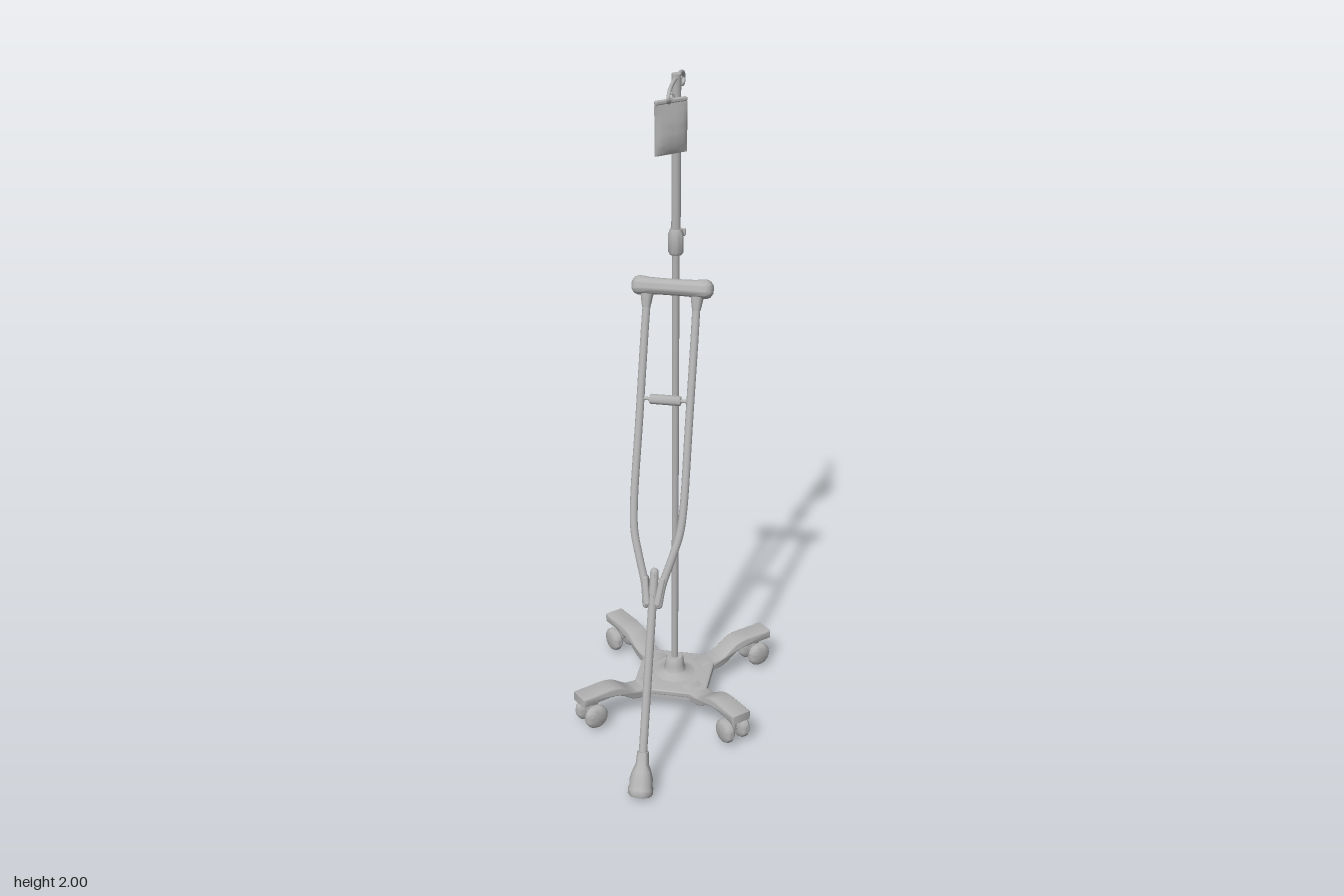
import * as THREE from 'three';
import { toCreasedNormals } from 'three/addons/utils/BufferGeometryUtils.js';
import { RoundedBoxGeometry } from 'three/addons/geometries/RoundedBoxGeometry.js';

const grey = new THREE.MeshStandardMaterial({ color: 0xb2b2b2 });
grey.name = 'plain grey';

const v2 = (pts) => pts.map(([x, y]) => new THREE.Vector2(x, y));
const v3 = (pts) => pts.map((p) => new THREE.Vector3(...p));

function add(parent, name, geometry, x = 0, y = 0, z = 0) {
  const mesh = new THREE.Mesh(geometry, grey);
  mesh.name = name;
  mesh.position.set(x, y, z);
  parent.add(mesh);
  return mesh;
}

function group(parent, name, x = 0, y = 0, z = 0) {
  const g = new THREE.Group();
  g.name = name;
  g.position.set(x, y, z);
  parent.add(g);
  return g;
}

// Turned part, profile as [radius, height] from bottom to top
const turned = (pts, sides = 24) => toCreasedNormals(new THREE.LatheGeometry(v2(pts), sides), 0.7);
const rod = (r, length, sides = 16) => new THREE.CylinderGeometry(r, r, length, sides);

// Round tube with ball ends
function tube(parent, name, pts, r, segments = 40) {
  const points = v3(pts);
  add(parent, name, new THREE.TubeGeometry(new THREE.CatmullRomCurve3(points), segments, r, 12));
  for (const p of [points[0], points[points.length - 1]])
    add(parent, name + 'End', new THREE.SphereGeometry(r, 12, 8), p.x, p.y, p.z);
}

// Square with cut corners
function cutSquare(Type, h, c) {
  return new Type(v2([
    [h - c, -h], [h, c - h], [h, h - c], [h - c, h],
    [c - h, h], [-h, h - c], [-h, c - h], [c - h, -h],
  ]));
}

function buildBase(stand) {
  const base = group(stand, 'base');

  // Thin top plate over a rim that leaves the underside hollow
  const topPlate = new THREE.ExtrudeGeometry(cutSquare(THREE.Shape, 0.109, 0.028),
    { depth: 0.008, bevelSize: 0.006, bevelThickness: 0.005, bevelSegments: 3 });
  topPlate.rotateX(-Math.PI / 2);
  add(base, 'basePlate', toCreasedNormals(topPlate, 0.8), 0, 0.072, 0);
  const rimShape = cutSquare(THREE.Shape, 0.113, 0.03);
  rimShape.holes.push(cutSquare(THREE.Path, 0.085, 0.03));
  const rim = new THREE.ExtrudeGeometry(rimShape, { depth: 0.018, bevelEnabled: false });
  rim.rotateX(-Math.PI / 2);
  add(base, 'baseRim', rim, 0, 0.057, 0);

  // Flared socket for the pole
  add(base, 'poleSocket', turned([
    [0, 0.06], [0.03, 0.06], [0.075, 0.082], [0.05, 0.088], [0.035, 0.098],
    [0.03, 0.115], [0.028, 0.135], [0.023, 0.142], [0, 0.142],
  ]));

  // S-curved arm section
  const top = new THREE.SplineCurve(v2([
    [0.09, 0.082], [0.14, 0.081], [0.175, 0.088], [0.215, 0.113], [0.25, 0.123], [0.3, 0.123], [0.353, 0.122],
  ])).getPoints(28);
  const bottom = top.map((p) => new THREE.Vector2(p.x, p.y - 0.02)).reverse();
  const arm = new THREE.ExtrudeGeometry(new THREE.Shape([...top, ...bottom]), {
    depth: 0.052, bevelSize: 0.004, bevelThickness: 0.006, bevelSegments: 3,
  });
  arm.translate(0, 0, -0.026);
  const armSmooth = toCreasedNormals(arm, 0.8);

  const wheel = turned([
    [0, -0.016], [0.024, -0.016], [0.033, -0.012], [0.038, -0.005], [0.038, 0.005],
    [0.033, 0.012], [0.024, 0.016], [0, 0.016],
  ]);
  wheel.rotateX(Math.PI / 2);

  for (let i = 0; i < 4; i++) {
    const leg = group(base, 'leg');
    leg.rotation.y = Math.PI / 4 + i * Math.PI / 2;
    add(leg, 'arm', armSmooth);
    add(leg, 'casterStem', rod(0.011, 0.06), 0.312, 0.08, 0);
    const axle = add(leg, 'axle', rod(0.009, 0.06), 0.312, 0.051, 0);
    axle.rotation.x = Math.PI / 2;
    for (const s of [-1, 1]) add(leg, 'wheel', wheel, 0.312, 0.051, s * 0.028);
  }
}

function buildPole(stand) {
  add(stand, 'lowerPole', rod(0.0105, 1.4), 0, 0.82, 0);
  add(stand, 'upperPole', rod(0.0135, 0.46), 0, 1.77, 0);
  add(stand, 'heightClamp', turned([
    [0, 1.485], [0.018, 1.485], [0.022, 1.492], [0.022, 1.545], [0.017, 1.56], [0, 1.56],
  ]));
  const screw = add(stand, 'clampScrew', rod(0.006, 0.02), 0, 1.54, -0.025);
  screw.rotation.x = Math.PI / 2;
  add(stand, 'clampKnob', new RoundedBoxGeometry(0.045, 0.022, 0.008, 2, 0.003), 0, 1.54, -0.033);

  // Double hook across the top
  tube(stand, 'hook', [
    [0, 1.952, 0.088], [0, 1.948, 0.105], [0, 1.96, 0.117], [0, 1.976, 0.104], [0, 1.986, 0.06],
    [0, 1.988, 0], [0, 1.987, -0.07], [0, 1.978, -0.1], [0, 1.962, -0.113], [0, 1.947, -0.1], [0, 1.951, -0.077],
  ], 0.0055, 64);
}

function buildBag(stand) {
  const bag = group(stand, 'fluidBag', 0, 1.8, 0.08);
  bag.rotation.y = 0.73;
  // Pillow that is fullest near the bottom and flat at its seams
  const pouch = new THREE.BoxGeometry(0.1, 0.14, 1, 12, 14, 1);
  const p = pouch.attributes.position;
  for (let i = 0; i < p.count; i++) {
    const u = THREE.MathUtils.clamp(p.getX(i) / 0.05, -1, 1);
    const t = THREE.MathUtils.clamp(p.getY(i) / 0.14 + 0.5, 0, 1);
    const full = Math.sqrt(1 - u * u) * Math.sin(Math.PI * Math.pow(t, 0.75));
    p.setZ(i, Math.sign(p.getZ(i)) * (0.003 + 0.012 * full));
  }
  add(bag, 'pouch', toCreasedNormals(pouch, 0.9), 0, 0.07, 0);
  add(bag, 'bagTopBar', new RoundedBoxGeometry(0.1, 0.012, 0.012, 2, 0.004), 0, 0.146, 0);
  add(bag, 'bagLoop', new THREE.TorusGeometry(0.01, 0.0025, 8, 16), 0, 0.155, 0);
}

function buildCrutch(parent) {
  // Leans back against the pole
  const crutch = group(parent, 'crutch', 0, 0.014, 0.39);
  crutch.rotation.x = -0.345;

  add(crutch, 'rubberTip', turned([
    [0, 0], [0.033, 0], [0.037, 0.006], [0.037, 0.022], [0.034, 0.028], [0.034, 0.05],
    [0.027, 0.075], [0.019, 0.095], [0.017, 0.13], [0, 0.13],
  ]));
  add(crutch, 'lowerShaft', rod(0.0125, 0.57), 0, 0.375, 0);
  add(crutch, 'shaftCap', new THREE.SphereGeometry(0.0125, 16, 8), 0, 0.66, 0);

  for (const s of [-1, 1]) {
    // Rail that bows in to meet the lower shaft
    tube(crutch, 'sideRail', [
      [s * 0.018, 0.565, 0], [s * 0.026, 0.625, 0], [s * 0.047, 0.7, 0], [s * 0.066, 0.775, 0],
      [s * 0.072, 0.85, 0], [s * 0.072, 1.1, 0], [s * 0.072, 1.35, 0], [s * 0.071, 1.46, 0],
    ], 0.0115, 60);
    add(crutch, 'railCollar', turned([[0.0115, 1.415], [0.014, 1.425], [0.019, 1.455], [0, 1.455]], 16), s * 0.072, 0, 0);
    const cheek = add(crutch, 'jointCheek', new RoundedBoxGeometry(0.018, 0.085, 0.03, 2, 0.006), s * 0.02, 0.605, 0);
    cheek.rotation.z = -s * 0.14;
  }
  for (const y of [0.59, 0.65]) {
    const bolt = add(crutch, 'jointBolt', rod(0.004, 0.036, 8), 0, y, 0);
    bolt.rotation.x = Math.PI / 2;
  }

  // Hand grip between the rails
  const gripRod = add(crutch, 'gripRod', rod(0.005, 0.15), 0, 1.157, 0);
  gripRod.rotation.z = Math.PI / 2;
  const grip = add(crutch, 'handGrip', turned([
    [0, -0.045], [0.012, -0.045], [0.0145, -0.041], [0.0145, 0.041], [0.012, 0.045], [0, 0.045],
  ]), 0, 1.157, 0);
  grip.rotation.z = Math.PI / 2;

  // Underarm pad, thicker at both ends
  const half = [[0, 0.118], [0.013, 0.116], [0.023, 0.109], [0.0275, 0.098], [0.027, 0.085], [0.0245, 0.065], [0.0235, 0.03]];
  const padProfile = [...half.map(([r, y]) => [r, -y]), ...half.slice().reverse()];
  const pad = add(crutch, 'underarmPad', turned(padProfile, 28), 0, 1.477, 0);
  pad.rotation.z = Math.PI / 2;
}

export function createModel() {
  const model = new THREE.Group();
  model.name = 'dripStandWithCrutch';
  const stand = group(model, 'dripStand', 0, 0, -0.16);
  buildBase(stand);
  buildPole(stand);
  buildBag(stand);
  buildCrutch(model);
  return model;
}
